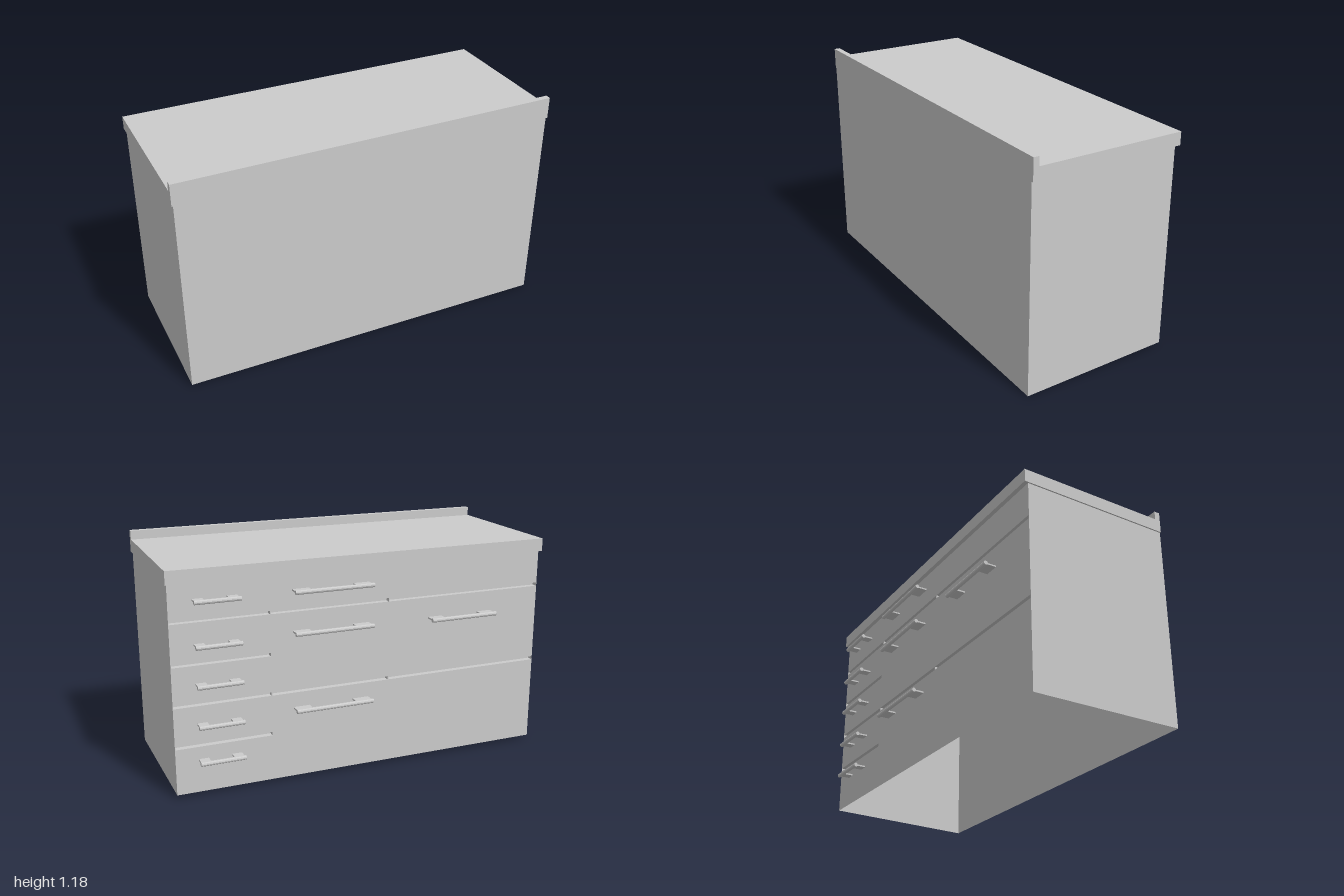
import * as THREE from 'three';

const material = new THREE.MeshStandardMaterial({ color: 0xcccccc, side: THREE.DoubleSide, flatShading: true });

const LEFT = 0.99, RIGHT = -0.993, BOTTOM = 0.02, TOP = 1.07, FACE = -0.363, BACK = 0.43;

function add(parent, name, geometry) {
  const mesh = new THREE.Mesh(geometry, material);
  mesh.name = name;
  parent.add(mesh);
  return mesh;
}

// Box between two corners; faces listed in keep (+x -x +y -y +z -z = 0..5)
function box(x0, x1, y0, y1, z0, z1, keep = [0, 1, 2, 3, 4, 5]) {
  const g = new THREE.BoxGeometry(x1 - x0, y1 - y0, z1 - z0);
  g.translate((x0 + x1) / 2, (y0 + y1) / 2, (z0 + z1) / 2);
  const index = Array.from(g.index.array);
  g.setIndex(keep.flatMap((f) => index.slice(f * 6, f * 6 + 6)));
  g.clearGroups();
  return g;
}

// Bar pull on two flat brackets
function makeHandle(x0, x1, y, bracket) {
  const handle = new THREE.Group();
  handle.name = 'handle';
  const bar = new THREE.CylinderGeometry(0.011, 0.011, x1 - x0, 10);
  bar.rotateZ(Math.PI / 2);
  bar.translate((x0 + x1) / 2, y, -0.42);
  add(handle, 'handleBar', bar);
  for (const x of [x0 + 0.004, x1 - 0.004 - bracket]) {
    add(handle, 'handleBracket', box(x, x + bracket, y - 0.004, y + 0.004, -0.415, FACE));
  }
  return handle;
}

export function createModel() {
  const model = new THREE.Group();
  model.name = 'drawerCabinet';

  // Carcass: open underneath, one lower corner slightly longer
  const carcass = box(RIGHT, LEFT, BOTTOM, TOP, FACE, BACK, [0, 1, 4]);
  const p = carcass.attributes.position;
  for (let i = 0; i < p.count; i++) {
    if (p.getX(i) > 0 && p.getY(i) < 0.1 && p.getZ(i) > 0) p.setY(i, 0);
  }
  add(model, 'carcass', carcass);

  // Worktop with raised lip
  add(model, 'worktop', box(-1, 1, TOP, 1.137, -0.385, BACK));
  add(model, 'worktopLip', box(-1, 1, 1.137, 1.183, 0.4, BACK));

  // Drawer face with recessed gaps between the drawers
  const columns = [[0.5, LEFT - 0.002], [-0.125, 0.495], [RIGHT + 0.002, -0.13]];
  const gaps = [[0.887, 3], [0.677, 1], [0.474, 3], [0.265, 1]]; // height, columns crossed
  const face = new THREE.Shape([
    new THREE.Vector2(RIGHT, BOTTOM), new THREE.Vector2(LEFT, BOTTOM),
    new THREE.Vector2(LEFT, TOP), new THREE.Vector2(RIGHT, TOP),
  ]);
  for (const [y, count] of gaps) {
    for (const [x0, x1] of columns.slice(0, count)) {
      const y0 = y - 0.009, y1 = y + 0.009;
      face.holes.push(new THREE.Path([
        new THREE.Vector2(x0, y0), new THREE.Vector2(x0, y1),
        new THREE.Vector2(x1, y1), new THREE.Vector2(x1, y0),
      ]));
      add(model, 'drawerGap', box(x0, x1, y0, y1, FACE, FACE + 0.03, [0, 1, 2, 3, 4]));
    }
  }
  add(model, 'drawerFace', new THREE.ShapeGeometry(face).translate(0, 0, FACE));

  // Handles: narrow, middle and wide columns
  for (const y of [0.987, 0.77, 0.575, 0.373, 0.188]) model.add(makeHandle(0.655, 0.88, y, 0.05));
  for (const y of [0.987, 0.78, 0.385]) model.add(makeHandle(-0.02, 0.39, y, 0.085));
  model.add(makeHandle(-0.715, -0.345, 0.77, 0.077));

  return model;
}
